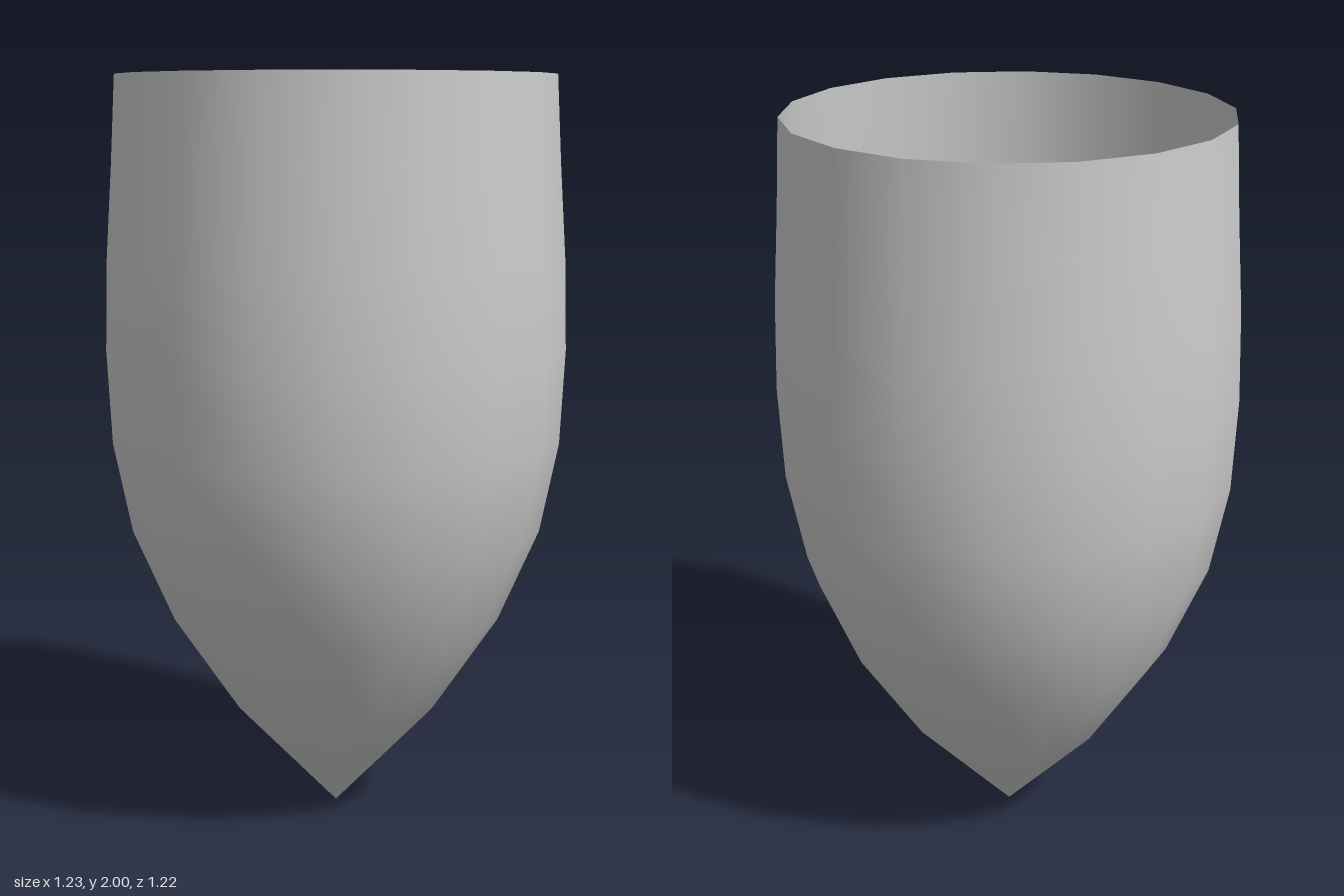
import * as THREE from 'three';

export function createModel() {
  const group = new THREE.Group();

  // Half profile of the open cup: [radius, height], pointed tip to rim
  const profile = [
    [0, 0], [0.27, 0.28], [0.446, 0.54], [0.555, 0.79], [0.604, 1.03],
    [0.617, 1.28], [0.611, 1.52], [0.595, 1.77], [0.583, 2],
  ].map(([r, y]) => new THREE.Vector2(r, y));

  // Thin 18-sided shell with a corner on the x axis, open at the top
  const shell = new THREE.Mesh(
    new THREE.LatheGeometry(profile, 18, Math.PI / 2),
    new THREE.MeshStandardMaterial({ color: 0xcccccc, side: THREE.DoubleSide }),
  );
  shell.name = 'pointedShell';
  group.add(shell);

  return group;
}
